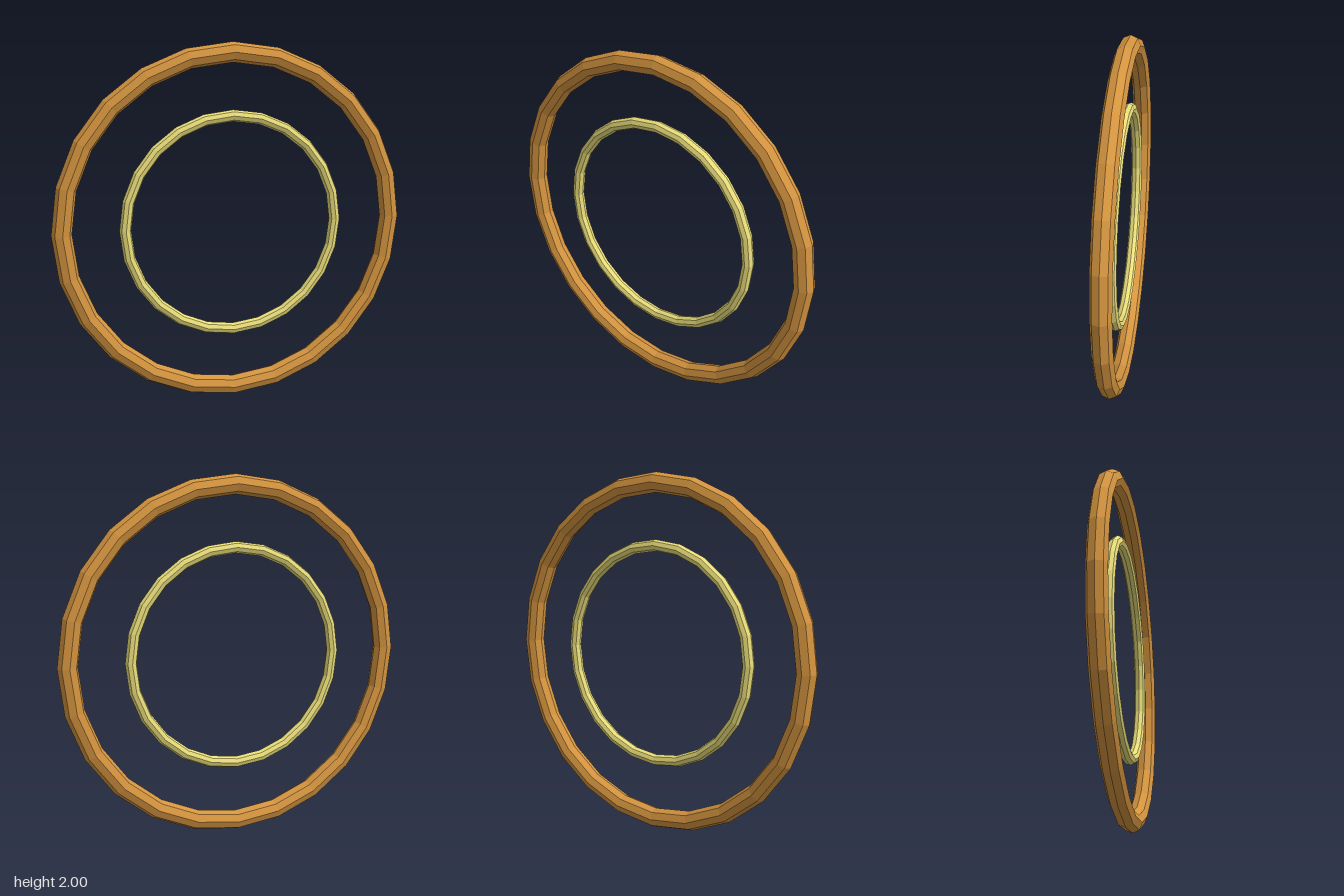
import * as THREE from 'three';

// Upright low-poly ring: eight-sided tube bent through 24 segments
function ring(name, radius, tube, color) {
  const mesh = new THREE.Mesh(
    new THREE.TorusGeometry(radius, tube, 8, 24),
    new THREE.MeshStandardMaterial({ color, flatShading: true })
  );
  mesh.name = name;
  mesh.position.y = 1;
  return mesh;
}

export function createModel() {
  const model = new THREE.Group();
  model.name = 'concentricRings';
  model.add(
    ring('outerRing', 0.945, 0.055, 0xd4943f),
    ring('innerRing', 0.605, 0.032, 0xeade7a)
  );
  return model;
}
